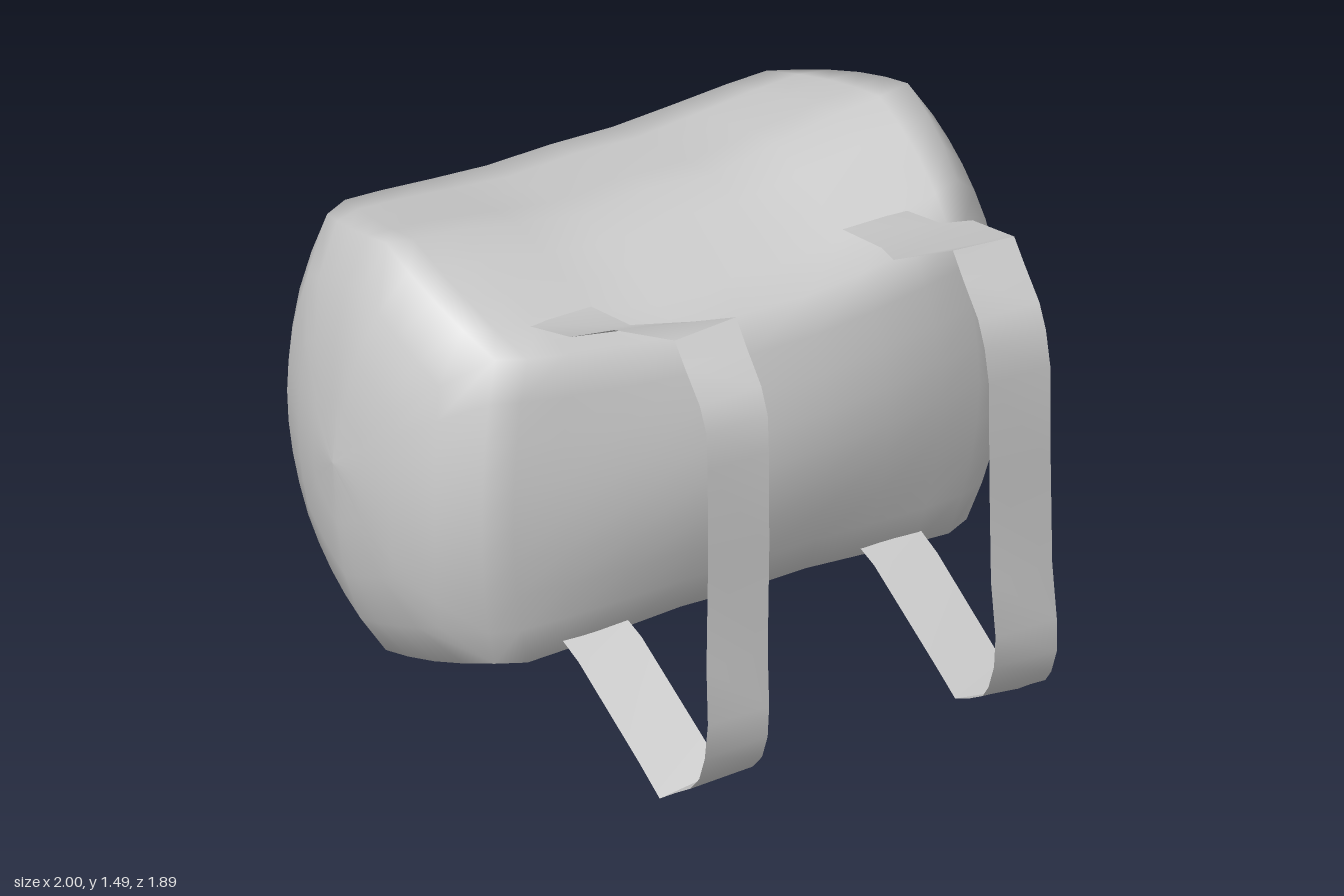
import * as THREE from 'three';
import { toCreasedNormals } from 'three/addons/utils/BufferGeometryUtils.js';

const CY = 0.67, CZ = -0.315; // centre of the bag in y and z
const lerp = THREE.MathUtils.lerp;

// Half of the bag: x at edge middles, x at corners, half height, corner z, corner y, half depth
const stations = [
  [0, 0, 0.57, 0.52, 0.44, 0.63],
  [0.21, 0.2, 0.55, 0.52, 0.435, 0.62],
  [0.41, 0.38, 0.585, 0.515, 0.45, 0.6],
  [0.6, 0.55, 0.62, 0.505, 0.47, 0.568],
  [0.74, 0.67, 0.635, 0.49, 0.485, 0.535],
  [0.83, 0.75, 0.65, 0.45, 0.485, 0.515],
  [0.91, 0.87, 0.525, 0.35, 0.385, 0.395],
  [0.96, 0.945, 0.37, 0.23, 0.26, 0.25],
  [0.985, 0.98, 0.2, 0.12, 0.13, 0.13],
  [1, 1, 0, 0, 0, 0],
];

// One quarter of a cross-section, from the top middle over the corner to the side middle
function quarter([xm, xc, h, cz, cy, w]) {
  const pts = [], n = 4;
  for (let i = 0; i <= n; i++) {
    const t = i / n;
    pts.push([lerp(xm, xc, t * t), lerp(h, cy, t) + 0.012 * h * Math.sin(Math.PI * t), cz * t]);
  }
  for (let i = 1; i <= n; i++) {
    const t = i / n;
    pts.push([lerp(xc, xm, 1 - (1 - t) ** 2), cy * (1 - t), lerp(cz, w, Math.sin(t * Math.PI / 2))]);
  }
  return pts;
}

// Full ring: top, front, bottom, back
function ring(station, sign) {
  const q = quarter(station);
  const front = [...q, ...q.slice(0, -1).reverse().map(([x, y, z]) => [x, -y, z])];
  const back = front.slice(1, -1).reverse().map(([x, y, z]) => [x, y, -z]);
  return [...front, ...back].map(([x, y, z]) => [sign * x, y + CY, z + CZ]);
}

// Skin between successive rings
function loft(rings, closed) {
  const n = rings[0].length, index = [];
  for (let i = 0; i < rings.length - 1; i++) {
    for (let j = 0; j < (closed ? n : n - 1); j++) {
      const k = (j + 1) % n;
      const a = i * n + j, b = i * n + k, c = a + n, d = b + n;
      index.push(a, b, c, b, d, c);
    }
  }
  const geo = new THREE.BufferGeometry();
  geo.setAttribute('position', new THREE.Float32BufferAttribute(rings.flat(2), 3));
  geo.setIndex(index);
  geo.computeVertexNormals();
  return geo;
}

// Strap path, from the top of the bag round to its underside: z, outer y, inner y, inner x, outer x
const strapPath = [
  [0.06, 1.18, 1.18, 0.4, 0.6],
  [0.27, 1.25, 1.23, 0.4, 0.59],
  [0.47, 1.37, 1.32, 0.32, 0.57],
  [0.745, 1.47, 1.485, 0.345, 0.54],
  [0.8, 1.41, 1.42, 0.345, 0.54],
  [0.88, 1.33, 1.335, 0.345, 0.54],
  [0.915, 1.26, 1.26, 0.345, 0.54],
  [0.93, 1.15, 1.15, 0.35, 0.545],
  [0.932, 0.85, 0.85, 0.35, 0.545],
  [0.932, 0.52, 0.52, 0.355, 0.55],
  [0.948, 0.35, 0.35, 0.36, 0.555],
  [0.94, 0.24, 0.25, 0.36, 0.56],
  [0.91, 0.16, 0.17, 0.36, 0.56],
  [0.87, 0.11, 0.12, 0.365, 0.565],
  [0.79, 0.055, 0.07, 0.365, 0.565],
  [0.715, 0, 0.03, 0.37, 0.57],
  [0.6, 0.06, 0.085, 0.37, 0.57],
  [0.28, 0.21, 0.23, 0.37, 0.57],
  [0.14, 0.25, 0.26, 0.37, 0.57],
];

function strap(sign, name) {
  const rows = strapPath.map(([z, yo, yi, xi, xo]) => {
    const row = [[sign * xi, yi, z], [sign * xo, yo, z]];
    return sign > 0 ? row.reverse() : row;
  });
  const geo = toCreasedNormals(loft(rows, false), 0.65);
  const mesh = new THREE.Mesh(geo, new THREE.MeshStandardMaterial({ color: 0xcccccc, side: THREE.DoubleSide }));
  mesh.name = name;
  return mesh;
}

export function createModel() {
  const group = new THREE.Group();
  group.name = 'backpack';

  // Padded bag body
  const rings = [
    ...stations.slice(1).reverse().map((s) => ring(s, -1)),
    ...stations.map((s) => ring(s, 1)),
  ];
  const body = new THREE.Mesh(loft(rings, true), new THREE.MeshStandardMaterial({ color: 0xcccccc }));
  body.name = 'bagBody';
  group.add(body);

  // Shoulder straps
  group.add(strap(1, 'leftStrap'), strap(-1, 'rightStrap'));
  return group;
}
